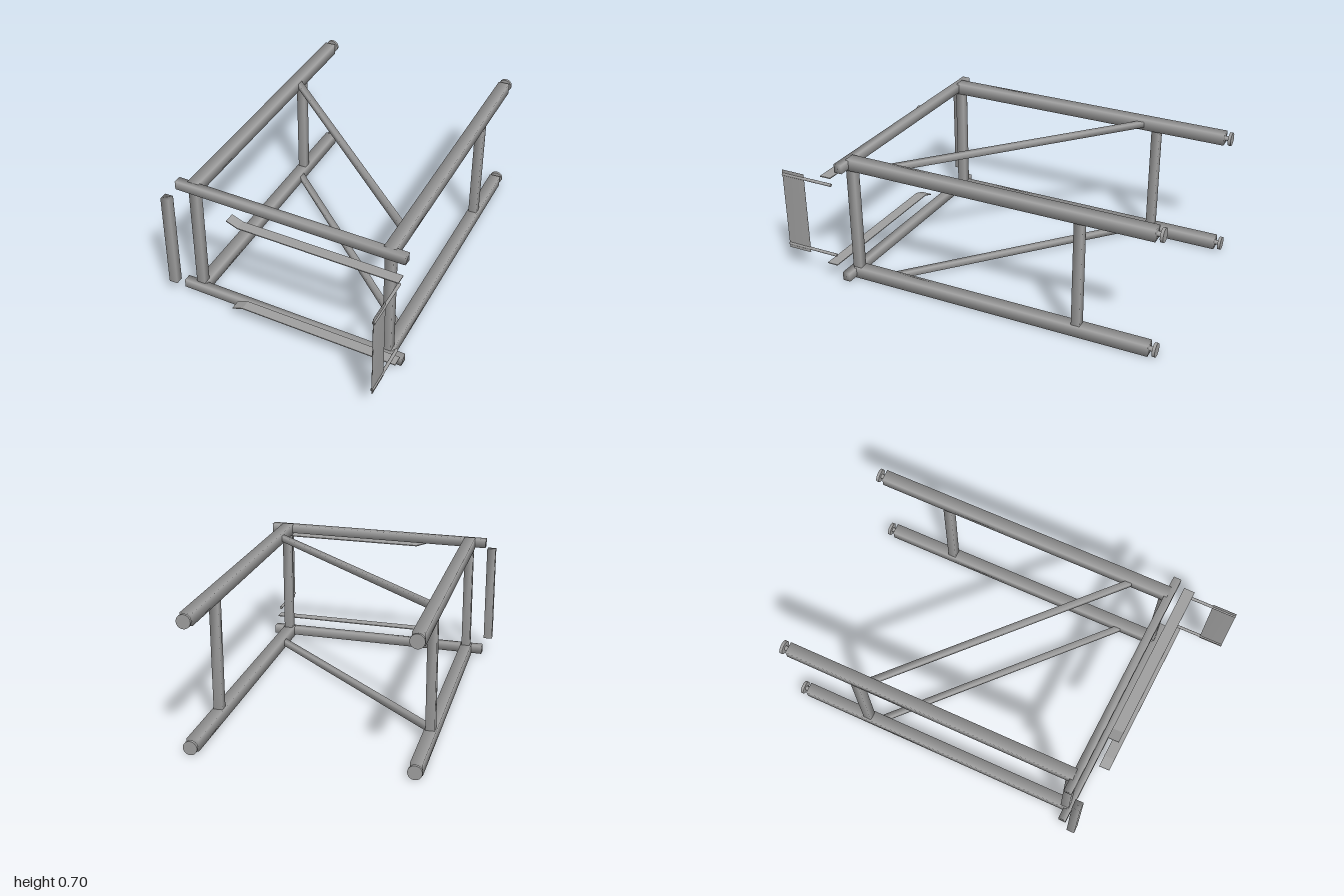
import * as THREE from 'three';
import { mergeVertices } from 'three/addons/utils/BufferGeometryUtils.js';

const LOW = 0.038, HIGH = 0.664;   // heights of the two frame layers
const MID = (LOW + HIGH) / 2;
const SLANT = -0.0515;             // yaw of the slightly skewed front

// Box whose corner normals are shared, for soft shading
function softBox(w, h, d) {
  const g = new THREE.BoxGeometry(w, h, d);
  g.deleteAttribute('uv');
  g.deleteAttribute('normal');
  const m = mergeVertices(g);
  m.computeVertexNormals();
  return m;
}

export function createModel() {
  const group = new THREE.Group();
  const steel = new THREE.MeshStandardMaterial({ color: 0xa0a0a0 });
  steel.name = 'grey steel';

  const add = (name, geometry, x, y, z, yaw = 0) => {
    const mesh = new THREE.Mesh(geometry, steel);
    mesh.name = name;
    mesh.position.set(x, y, z);
    mesh.rotation.y = yaw;
    group.add(mesh);
    return mesh;
  };

  const sides = [
    { name: 'right', x: -0.512, front: 0.588, post: 0.575 },
    { name: 'left', x: 0.553, front: 0.643, post: 0.627 },
  ];
  const back = -0.964;

  for (const s of sides) {
    // Upright posts between the layers
    const postHeight = HIGH - LOW - 0.058;
    add(s.name + 'FrontPost', softBox(0.046, postHeight, 0.046), s.x, MID, s.post);
    add(s.name + 'BackPost', softBox(0.046, postHeight, 0.044), s.x, MID, -0.593);

    for (const y of [LOW, HIGH]) {
      // Long rail with a levelling foot on its back end
      add(s.name + 'Rail', softBox(0.06, 0.06, s.front - back), s.x, y, (s.front + back) / 2);
      const stem = new THREE.CylinderGeometry(0.012, 0.012, 0.03, 20).rotateX(Math.PI / 2);
      add(s.name + 'FootStem', stem, s.x, y, -0.973);
      const disc = new THREE.CylinderGeometry(0.035, 0.035, 0.015, 32).rotateX(Math.PI / 2);
      add(s.name + 'FootDisc', disc, s.x, y, -0.9925);
    }
  }

  for (const y of [LOW, HIGH]) {
    // Front crossbar
    add('frontCrossbar', softBox(1.246, 0.046, 0.042), 0.021, y + 0.002, 0.622, SLANT);

    // Diagonal brace
    const ax = -0.492, az = -0.519, bx = 0.53, bz = 0.443;
    add('diagonalBrace', softBox(Math.hypot(bx - ax, bz - az), 0.03, 0.03),
      (ax + bx) / 2, y, (az + bz) / 2, -Math.atan2(bz - az, bx - ax));

    // Thin guide strip with its free end bent outward
    const up = y === HIGH ? 1 : -1, t = 0.0025;
    const strip = new THREE.Shape([
      [0.645, -t], [0.645, t], [-0.2, t], [-0.26, 0.022 + t], [-0.26, 0.022 - t], [-0.2, -t],
    ].map(([x, h]) => new THREE.Vector2(x, h * up)));
    const g = new THREE.ExtrudeGeometry(strip, { depth: 0.058, bevelEnabled: false });
    // Shear the strip so both ends stay square to the frame
    const p = g.attributes.position;
    for (let i = 0; i < p.count; i++) p.setZ(i, p.getZ(i) + 0.669 + 0.0515 * p.getX(i));
    g.computeVertexNormals();
    add('guideStrip', g, 0, up > 0 ? 0.604 : 0.099, 0);
  }

  // Free-standing bar at the front right
  add('frontSideBar', softBox(0.046, 0.527, 0.043), -0.627, 0.353, 0.656);

  // Thin panel carried by two rods at the front left
  add('panel', softBox(0.005, 0.454, 0.127), 0.63, 0.353, 0.9365);
  for (const y of [0.149, 0.557]) {
    const rod = new THREE.CylinderGeometry(0.008, 0.008, 0.29, 20).rotateX(Math.PI / 2);
    add('panelRod', rod, 0.63, y, 0.855);
  }

  return group;
}
